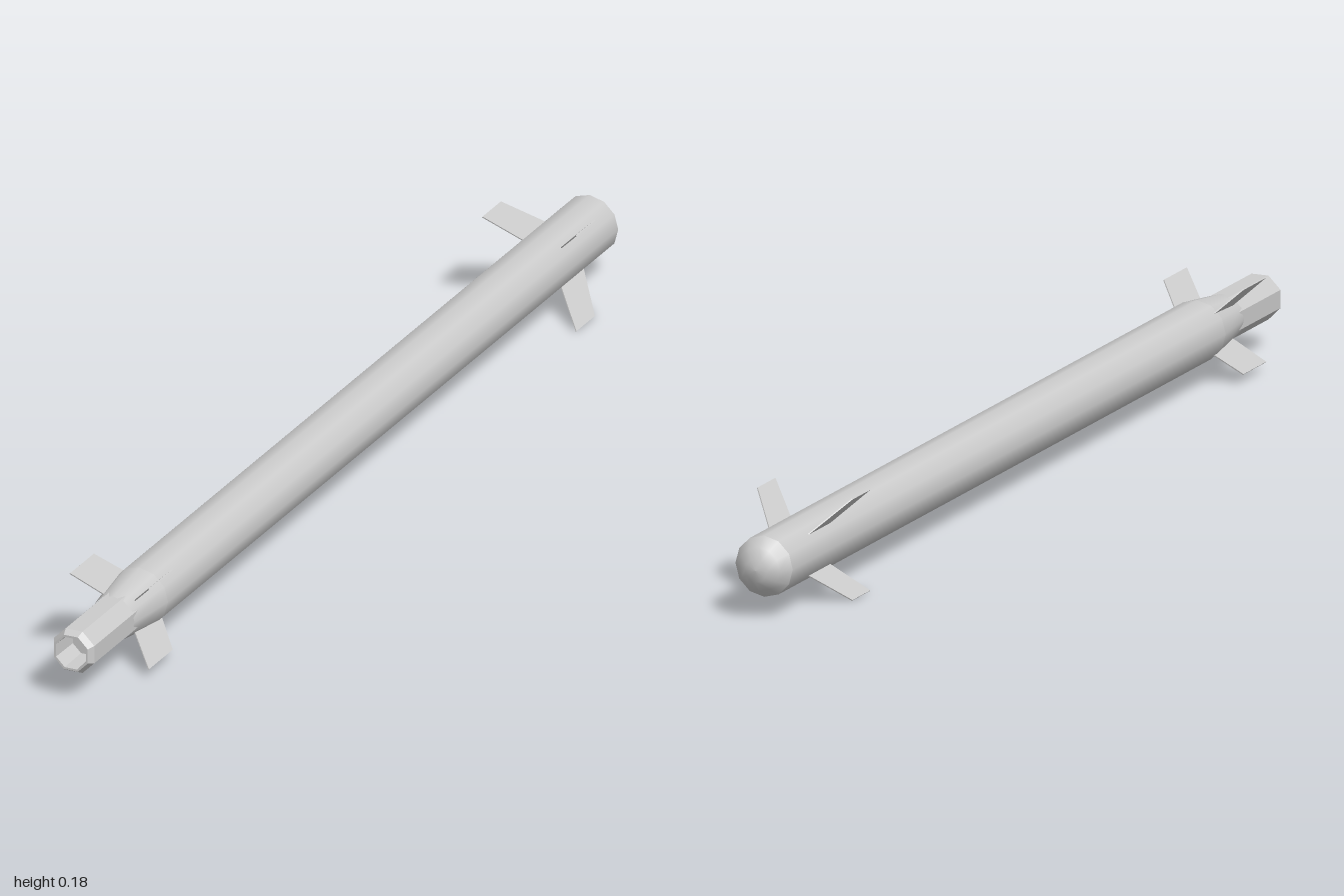
import * as THREE from 'three';

const AXIS_Y = 0.088;

export function createModel() {
  const model = new THREE.Group();
  model.name = 'finnedRocket';
  const smooth = new THREE.MeshStandardMaterial({ color: 0xcccccc });
  const faceted = new THREE.MeshStandardMaterial({ color: 0xcccccc, flatShading: true });

  // Turned section along z; each profile point is [radius, z]
  function turned(name, profile, sides, material, phase = 0) {
    const points = profile.map(([r, z]) => new THREE.Vector2(r, z));
    const geometry = new THREE.LatheGeometry(points, sides, phase);
    geometry.rotateX(Math.PI / 2);
    const mesh = new THREE.Mesh(geometry, material);
    mesh.name = name;
    mesh.position.y = AXIS_Y;
    model.add(mesh);
  }

  turned('noseDome', [[0, -1], [0.02, -0.998], [0.038, -0.985], [0.053, -0.965]], 12, smooth);
  turned('body', [[0.053, -0.965], [0.053, 0.74]], 12, smooth);
  turned('tailTaper', [[0.053, 0.74], [0.04, 0.84]], 12, smooth);

  // Eight-sided tail tube, bevelled rim and recessed nozzle
  turned('tailTube', [[0.041, 0.82], [0.041, 0.988], [0.034, 1], [0.03, 1], [0.028, 0.94], [0, 0.94]],
    8, faceted, Math.PI / 8);

  // Four swept fins in an X; corners are [z, distance from axis]
  function finSet(name, corners) {
    const shape = new THREE.Shape(corners.map(([z, r]) => new THREE.Vector2(z, r)));
    const thickness = 0.002;
    const geometry = new THREE.ExtrudeGeometry(shape, { depth: thickness, bevelEnabled: false });
    geometry.translate(0, 0, -thickness / 2);
    geometry.rotateY(-Math.PI / 2);
    const set = new THREE.Group();
    set.name = name;
    set.position.y = AXIS_Y;
    for (let i = 0; i < 4; i++) {
      const fin = new THREE.Mesh(geometry, faceted);
      fin.name = name.replace('Fins', 'Fin') + (i + 1);
      fin.rotation.z = Math.PI / 4 + i * Math.PI / 2;
      set.add(fin);
    }
    model.add(set);
  }

  finSet('noseFins', [[-0.87, 0.048], [-0.785, 0.048], [-0.735, 0.124], [-0.805, 0.124]]);
  finSet('tailFins', [[0.72, 0.037], [0.815, 0.037], [0.855, 0.104], [0.765, 0.104]]);

  return model;
}
